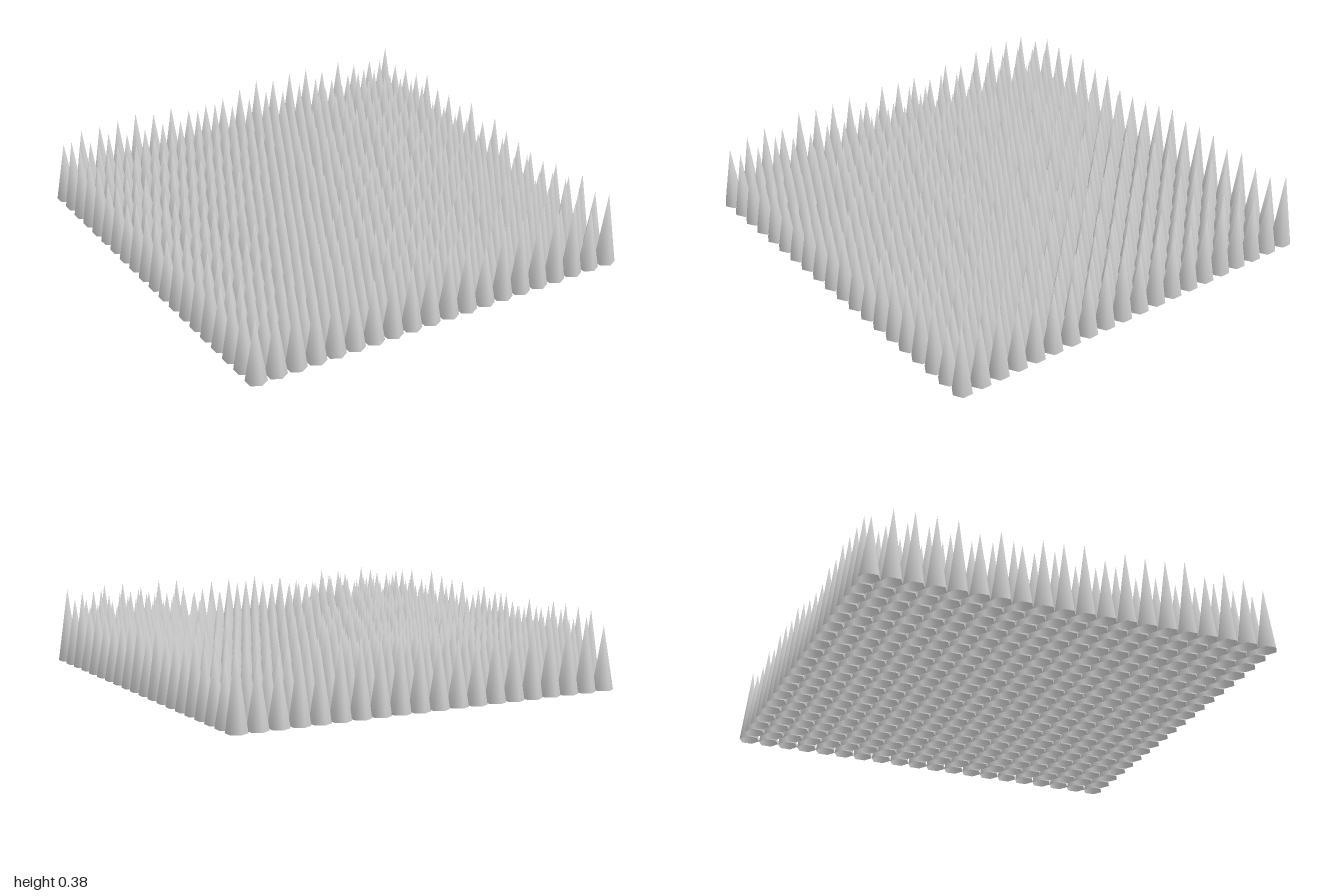
import * as THREE from 'three';
import { mergeVertices } from 'three/addons/utils/BufferGeometryUtils.js';

const COUNT = 20;      // spikes per side
const PITCH = 0.1;     // spacing between spike centres
const RADIUS = 0.05;
const MIN_HEIGHT = 0.3;
const MAX_HEIGHT = 0.38;

// Small seeded generator for the uneven spike heights
function seededRandom(seed) {
  return () => {
    seed = (seed * 16807) % 2147483647;
    return seed / 2147483647;
  };
}

// Six-sided open cone of unit height on y = 0, with one shared, smoothly shaded tip
function createSpikeGeometry() {
  const cone = new THREE.ConeGeometry(RADIUS, 1, 6, 1, true);
  cone.translate(0, 0.5, 0);
  cone.deleteAttribute('uv');
  cone.deleteAttribute('normal');
  const spike = mergeVertices(cone);
  spike.computeVertexNormals();
  return spike;
}

export function createModel() {
  const model = new THREE.Group();
  model.name = 'spikeField';
  const material = new THREE.MeshStandardMaterial({ color: 0xcccccc, side: THREE.DoubleSide });
  const spikeGeometry = createSpikeGeometry();
  const random = seededRandom(4711);

  // Square grid of spikes, one group per row
  const centre = (COUNT - 1) / 2;
  for (let j = 0; j < COUNT; j++) {
    const row = new THREE.Group();
    row.name = `spikeRow${j + 1}`;
    row.position.z = (j - centre) * PITCH;
    for (let i = 0; i < COUNT; i++) {
      const spike = new THREE.Mesh(spikeGeometry, material);
      spike.name = 'spike';
      spike.position.x = (i - centre) * PITCH;
      spike.scale.y = THREE.MathUtils.lerp(MIN_HEIGHT, MAX_HEIGHT, random());
      row.add(spike);
    }
    model.add(row);
  }
  return model;
}
